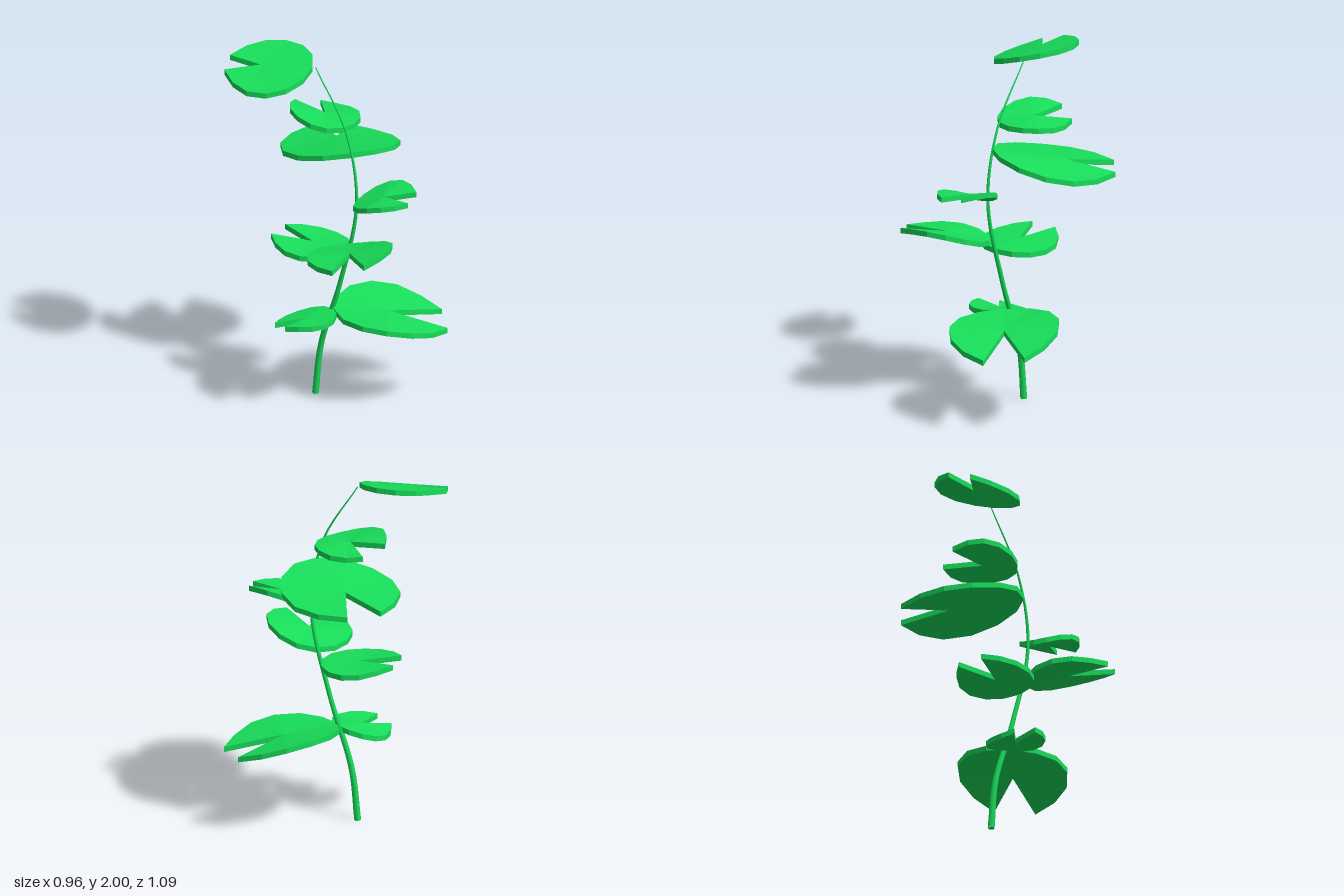
import * as THREE from 'three';

const leafGreen = new THREE.MeshStandardMaterial({ color: 0x18de5a });
leafGreen.name = 'leaf green';

const THICK = 0.03;
const SEGMENTS = 12;

// Notched round pad. x, y, z: middle; r: radius; dir: notch direction in degrees (from +x towards +z);
// tx, tz: tilt; fold, twist: saddle bends; gap: notch width in degrees; shift: notch apex offset
function leafGeometry({ x, y, z, r, dir, tx, tz, fold, twist, gap = 40, shift = 0 }) {
  const around = (deg, radius, height) => {
    const t = THREE.MathUtils.degToRad(deg);
    return [x + radius * Math.cos(t), height, z + radius * Math.sin(t)];
  };
  const apex = around(dir, shift, y);
  const loop = [];
  for (let i = 0; i <= SEGMENTS; i++) {
    const deg = dir + gap / 2 + (360 - gap) * i / SEGMENTS;
    const t = THREE.MathUtils.degToRad(deg);
    const height = y + tx * Math.cos(t) + tz * Math.sin(t) + fold * Math.cos(2 * t) + twist * Math.sin(2 * t);
    const flare = i % SEGMENTS === 0 ? 1.08 : 1; // pointed tips beside the notch
    loop.push(around(deg, r * flare, height));
  }
  loop.push(apex);

  const low = (p) => [p[0], p[1] - THICK, p[2]];
  const pos = [];
  const tri = (...pts) => pts.forEach((p) => pos.push(...p));
  // Upper and lower fans
  for (let i = 0; i < SEGMENTS; i++) {
    tri(apex, loop[i + 1], loop[i]);
    tri(low(apex), low(loop[i]), low(loop[i + 1]));
  }
  // Wall around the edge and along the notch
  loop.forEach((p, i) => {
    const q = loop[(i + 1) % loop.length];
    tri(p, q, low(q));
    tri(p, low(q), low(p));
  });
  const g = new THREE.BufferGeometry();
  g.setAttribute('position', new THREE.Float32BufferAttribute(pos, 3));
  g.computeVertexNormals();
  return g;
}

// Curved stalk, thick at the foot and thin at the tip
function stemGeometry() {
  const curve = new THREE.CatmullRomCurve3([
    new THREE.Vector3(-0.07, 0, -0.09),
    new THREE.Vector3(-0.063, 0.3, -0.055),
    new THREE.Vector3(-0.05, 0.7, 0.075),
    new THREE.Vector3(-0.04, 1.2, 0.188),
    new THREE.Vector3(-0.045, 1.6, 0.115),
    new THREE.Vector3(-0.07, 1.94, -0.09),
  ]);
  const rows = 32, sides = 6;
  const g = new THREE.TubeGeometry(curve, rows, 1, sides);
  const pos = g.attributes.position;
  const v = new THREE.Vector3();
  for (let i = 0; i < pos.count; i++) {
    const u = Math.floor(i / (sides + 1)) / rows;
    const mid = curve.getPointAt(u);
    v.fromBufferAttribute(pos, i).sub(mid).multiplyScalar(0.019 - 0.016 * u).add(mid);
    pos.setXYZ(i, v.x, Math.max(0, v.y), v.z);
  }
  return g;
}

export function createModel() {
  const model = new THREE.Group();
  model.name = 'plant';
  const add = (name, geometry) => {
    const mesh = new THREE.Mesh(geometry, leafGreen);
    mesh.name = name;
    model.add(mesh);
  };

  add('stem', stemGeometry());
  // Cap under the foot of the stalk
  add('stemFoot', new THREE.CircleGeometry(0.019, 6).rotateX(Math.PI / 2).translate(-0.07, 0, -0.09));

  // Leaves from the top down
  const leaf = (name, spec) => add(name, leafGeometry(spec));
  leaf('topLeaf', { x: -0.212, y: 1.938, z: -0.292, r: 0.236, dir: 241.5, tx: 0.061, tz: -0.02, fold: -0.005, twist: 0.005, gap: 29, shift: 0.058 });
  leaf('smallUpperLeaf', { x: 0.01, y: 1.646, z: -0.092, r: 0.197, dir: 289, tx: -0.024, tz: -0.019, fold: 0, twist: 0.015, gap: 44 });
  leaf('largeUpperLeaf', { x: 0.152, y: 1.423, z: -0.11, r: 0.33, dir: 307, tx: -0.03, tz: 0.046, fold: -0.012, twist: -0.011, gap: 32, shift: 0.08 });
  leaf('smallFrontLeaf', { x: -0.01, y: 1.279, z: 0.36, r: 0.167, dir: 70, tx: 0.031, tz: 0.03, fold: 0.015, twist: -0.009 });
  leaf('frontRightLeaf', { x: -0.238, y: 1.003, z: 0.317, r: 0.237, dir: 140, tx: 0.005, tz: 0.046, fold: -0.008, twist: 0.015 });
  leaf('backLeaf', { x: -0.1, y: 0.917, z: -0.085, r: 0.213, dir: 257, tx: -0.011, tz: -0.018, fold: -0.009, twist: 0.003 });
  leaf('smallLowerLeaf', { x: -0.21, y: 0.509, z: -0.028, r: 0.163, dir: 200, tx: 0.007, tz: 0.0275, fold: 0.01, twist: 0 });
  leaf('largeLowerLeaf', { x: 0.165, y: 0.511, z: 0.24, r: 0.305, dir: 39.5, tx: -0.025, tz: -0.052, fold: -0.004, twist: -0.022 });
  return model;
}
